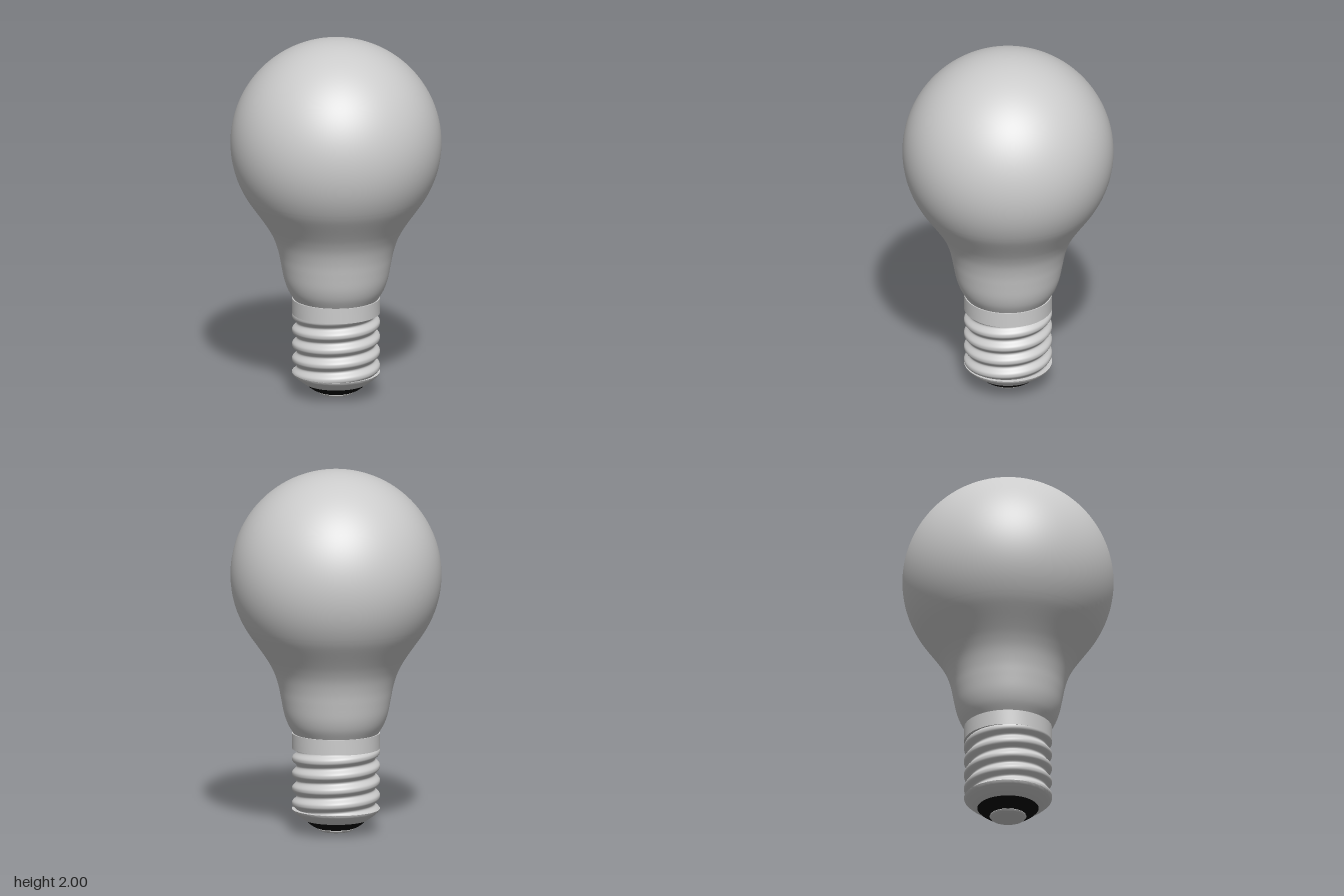
import * as THREE from 'three';
import { mergeVertices, toCreasedNormals } from 'three/addons/utils/BufferGeometryUtils.js';

const SEGMENTS = 96;
const CAP_RADIUS = 0.24;
const THREAD_BOTTOM = 0.13;
const THREAD_TOP = 0.465;

const toPoints = (list) => list.map(([r, y]) => new THREE.Vector2(r, y));

function addPart(group, name, geometry, color = 0xcccccc) {
  const mesh = new THREE.Mesh(geometry, new THREE.MeshStandardMaterial({ color }));
  mesh.name = name;
  group.add(mesh);
}

// Turned part with crisp corners, profile listed from bottom to top
function turned(list) {
  return toCreasedNormals(new THREE.LatheGeometry(toPoints(list), SEGMENTS), 0.5);
}

// Round globe flowing into a narrow neck
function glassGeometry() {
  const neck = new THREE.SplineCurve(toPoints([
    [0.233, 0.55], [0.262, 0.6], [0.283, 0.66], [0.299, 0.74], [0.313, 0.81],
    [0.335, 0.88], [0.365, 0.94], [0.404, 1.0], [0.475, 1.1], [0.505, 1.15],
  ])).getPoints(40);
  const centre = 1.425, radius = 0.575, start = -0.46, steps = 40;
  const globe = [];
  for (let i = 0; i <= steps; i++) {
    const a = THREE.MathUtils.lerp(start, Math.PI / 2, i / steps);
    globe.push(new THREE.Vector2(Math.max(0, radius * Math.cos(a)), centre + radius * Math.sin(a)));
  }
  return new THREE.LatheGeometry([...neck, ...globe], SEGMENTS);
}

// Cylinder wall pressed in along a right-handed helix
function threadGeometry() {
  const pitch = 0.082, depth = 0.026, grooveHeight = 0.45;
  const height = THREAD_TOP - THREAD_BOTTOM;
  let geometry = new THREE.CylinderGeometry(CAP_RADIUS, CAP_RADIUS, height, SEGMENTS, 84, true);
  geometry.translate(0, THREAD_BOTTOM + height / 2, 0);
  const p = geometry.attributes.position;
  for (let i = 0; i < p.count; i++) {
    const x = p.getX(i), y = p.getY(i), z = p.getZ(i);
    const phase = (2 * Math.PI * (y - grooveHeight)) / pitch - Math.atan2(-z, x);
    const groove = Math.pow(0.5 + 0.5 * Math.cos(phase), 1.4);
    const scale = 1 - (depth * groove) / CAP_RADIUS;
    p.setXYZ(i, x * scale, y, z * scale);
  }
  // Weld the seam so the shading stays smooth all round
  geometry.deleteAttribute('uv');
  geometry.deleteAttribute('normal');
  geometry = mergeVertices(geometry, 1e-4);
  geometry.computeVertexNormals();
  return geometry;
}

export function createModel() {
  const bulb = new THREE.Group();
  bulb.name = 'lightBulb';

  addPart(bulb, 'glass', glassGeometry());

  // Metal screw cap: plain collar, threaded wall and tapered skirt
  const cap = new THREE.Group();
  cap.name = 'screwCap';
  bulb.add(cap);
  addPart(cap, 'collar', turned([
    [0.205, THREAD_TOP], [CAP_RADIUS, THREAD_TOP], [CAP_RADIUS, 0.55], [0.225, 0.55],
  ]));
  addPart(cap, 'thread', threadGeometry());
  addPart(cap, 'skirt', turned([
    [0.16, 0.069], [0.172, 0.069], [0.192, 0.083], [0.213, 0.099], [0.23, 0.114],
    [0.238, 0.123], [CAP_RADIUS, THREAD_BOTTOM], [0.205, THREAD_BOTTOM],
  ]));

  // Black insulating ring and the contact at its centre
  addPart(bulb, 'insulator', turned([
    [0.085, 0.021], [0.105, 0.024], [0.13, 0.037], [0.15, 0.051], [0.168, 0.07],
  ]), 0x050505);
  addPart(bulb, 'contact', turned([
    [0, 0], [0.05, 0.001], [0.08, 0.006], [0.095, 0.013], [0.1, 0.02], [0.097, 0.027], [0.085, 0.028],
  ]));

  return bulb;
}
